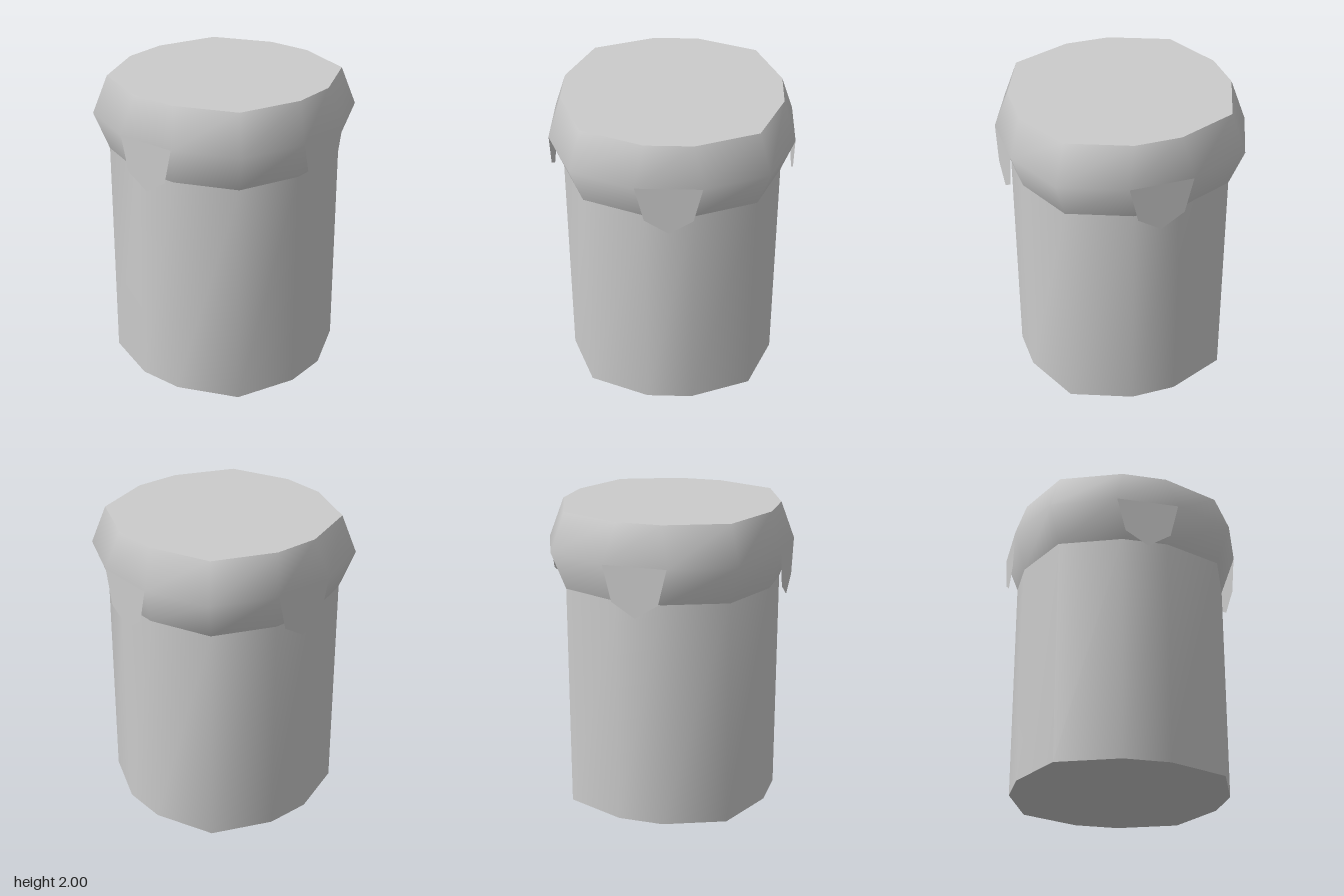
import * as THREE from 'three';

const material = new THREE.MeshStandardMaterial({ color: 0xcccccc });
const sheetMaterial = new THREE.MeshStandardMaterial({ color: 0xcccccc, side: THREE.DoubleSide });

// Twelve-sided outline: one quarter of corners, turned four times.
function outline(a, b, c) {
  const points = [];
  for (let q = 0; q < 4; q++) {
    for (const [x, z] of [[-a, c], [a, c], [b, b]]) {
      const p = new THREE.Vector2(x, z).rotateAround(new THREE.Vector2(), -q * Math.PI / 2);
      points.push(p);
    }
  }
  return points;
}

const narrow = outline(0.15, 0.54, 0.70);
const wide = outline(0.21, 0.61, 0.78);

// Smooth wall through rings of [outline, height], lowest first.
function wall(rings) {
  const n = narrow.length, positions = [], index = [];
  for (const [ring, y] of rings) for (const p of ring) positions.push(p.x, y, p.y);
  for (let r = 0; r < rings.length - 1; r++) {
    for (let i = 0; i < n; i++) {
      const a = r * n + i, b = r * n + (i + 1) % n;
      index.push(a, b, b + n, a, b + n, a + n);
    }
  }
  const geometry = new THREE.BufferGeometry();
  geometry.setAttribute('position', new THREE.Float32BufferAttribute(positions, 3));
  geometry.setIndex(index);
  geometry.computeVertexNormals();
  return geometry;
}

// Flat lid facing up, or down when turned over.
function lid(y, up) {
  return new THREE.ShapeGeometry(new THREE.Shape(narrow))
    .rotateX(up ? -Math.PI / 2 : Math.PI / 2)
    .translate(0, y, 0);
}

export function createModel() {
  const model = new THREE.Group();
  const add = (name, geometry, mat = material) => {
    const mesh = new THREE.Mesh(geometry, mat);
    mesh.name = name;
    model.add(mesh);
    return mesh;
  };

  // Column and its flared collar
  add('body', wall([[narrow, 0], [narrow, 1.5]]));
  add('collar', wall([[narrow, 1.5], [wide, 1.75], [narrow, 2]]));
  add('topFace', lid(2, true));
  add('bottomFace', lid(0, false));

  // Thin pointed tabs hanging from the collar's widest edge
  const tab = new THREE.ShapeGeometry(new THREE.Shape([
    [-0.205, 1.75], [-0.15, 1.52], [0, 1.425], [0.15, 1.52], [0.205, 1.75],
  ].map(([x, y]) => new THREE.Vector2(x, y)))).translate(0, 0, 0.78);
  ['frontTab', 'leftTab', 'backTab', 'rightTab'].forEach((name, i) => {
    add(name, tab, sheetMaterial).rotation.y = i * Math.PI / 2;
  });

  return model;
}
